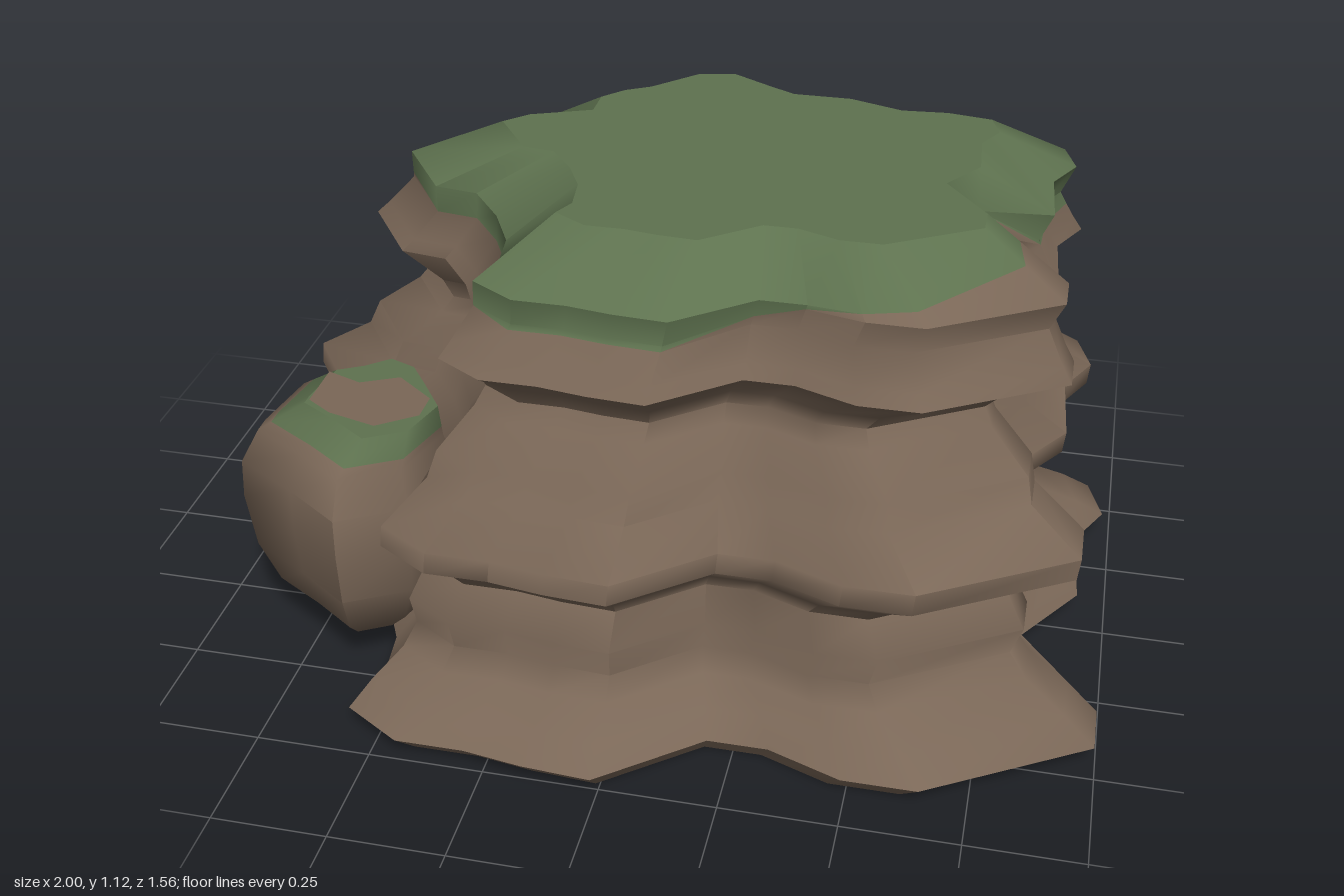
import * as THREE from 'three';
import { toCreasedNormals } from 'three/addons/utils/BufferGeometryUtils.js';

const rock = new THREE.MeshStandardMaterial({ color: 0x7a6757 });
rock.name = 'brown rock';
const moss = new THREE.MeshStandardMaterial({ color: 0x5e724f });
moss.name = 'green moss';

// Cliff plan at its widest level: x, z, height where the moss starts
const cliffPlan = [
  [-1, -0.09, 0.97], [-0.91, -0.18, 0.98], [-0.67, -0.28, 1], [-0.67, -0.42, 1.01], [-0.59, -0.51, 1.01],
  [-0.49, -0.57, 1], [-0.32, -0.75, 0.98], [-0.17, -0.78, 1], [0, -0.68, 1.03], [0.11, -0.62, 1.07],
  [0.35, -0.62, 1.08], [0.57, -0.545, 1.07], [0.76, -0.56, 1.02], [0.94, -0.53, 0.95],
  [0.98, -0.41, 0.93], [0.92, -0.29, 0.92], [0.935, -0.065, 0.95], [0.82, 0.11, 1.07],
  [0.995, 0.34, 1.08], [0.995, 0.46, 1.07], [0.65, 0.67, 1.04], [0.49, 0.67, 1.03],
  [0.33, 0.61, 1.01], [0.2, 0.61, 0.98], [-0.01, 0.78, 0.95], [-0.16, 0.77, 0.95],
  [-0.29, 0.75, 0.95], [-0.44, 0.75, 0.95], [-0.57, 0.67, 0.96], [-0.53, 0.58, 0.96],
  [-0.55, 0.42, 0.96], [-0.62, 0.28, 0.96], [-0.72, 0.15, 0.96], [-0.85, 0.13, 0.96],
];
// Weathered strata: height, plan scale; higher layers lean towards +x
const cliffLayers = [
  [0, 0.94], [0.05, 1], [0.1, 0.93], [0.15, 0.84], [0.2, 0.8], [0.27, 0.82], [0.35, 0.77],
  [0.39, 0.81], [0.44, 0.9], [0.49, 0.9], [0.57, 0.78], [0.63, 0.76], [0.71, 0.665],
  [0.75, 0.64], [0.79, 0.67], [0.86, 0.785], [0.89, 0.76], [0.96, 0.71], [1.02, 0.725], [1.12, 0.53],
].map(([y, s]) => [y, s, 0.11 * y * y]);

// Boulder plan and layers (height, scale, x shift)
const boulderPlan = [
  [-0.88, 0.36], [-0.85, 0.17], [-0.76, 0.12], [-0.68, 0.05], [-0.58, 0.09], [-0.5, 0.2],
  [-0.41, 0.33], [-0.46, 0.51], [-0.6, 0.59], [-0.73, 0.5], [-0.88, 0.41],
].map(([x, z]) => [x + 0.65, z - 0.33, 0.57]);
const boulderLayers = [
  [0.04, 0.2, 0], [0.08, 0.48, 0], [0.15, 0.76, 0], [0.25, 0.93, 0], [0.38, 1, 0],
  [0.47, 0.98, 0], [0.55, 0.84, 0.01], [0.62, 0.6, 0.06],
];

// Position of a plan corner at any height, between the layers
function pointAt([x, z], layers, y) {
  let k = 1;
  while (k < layers.length - 1 && layers[k][0] < y) k++;
  const [a, b] = [layers[k - 1], layers[k]];
  const t = (y - a[0]) / (b[0] - a[0]);
  const s = THREE.MathUtils.lerp(a[1], b[1], t);
  return [x * s + THREE.MathUtils.lerp(a[2], b[2], t), y, z * s];
}

// Lofted side wall: rock below each corner's moss line, moss above it
function wall(plan, layers, crease) {
  const positions = [];
  const geo = new THREE.BufferGeometry();
  const tri = (p, q, r) => {
    const same = (u, v) => u.every((c, n) => Math.abs(c - v[n]) < 1e-6);
    if (!same(p, q) && !same(q, r) && !same(r, p)) positions.push(...p, ...q, ...r);
  };
  [Math.min, Math.max].forEach((clip, material) => {
    const start = positions.length / 3;
    for (let k = 1; k < layers.length; k++) {
      plan.forEach((c, i) => {
        const n = plan[(i + 1) % plan.length];
        const at = (p, row) => pointAt(p, layers, clip(layers[row][0], p[2]));
        const [a, b, e, d] = [at(c, k - 1), at(n, k - 1), at(n, k), at(c, k)];
        tri(b, a, d);
        tri(b, d, e);
      });
    }
    geo.addGroup(start, positions.length / 3 - start, material);
  });
  geo.setAttribute('position', new THREE.Float32BufferAttribute(positions, 3));
  return toCreasedNormals(geo, crease);
}

// Flat face over an outline, facing up (1) or down (-1)
function flat(points, y, facing) {
  const shape = new THREE.Shape(points.map(([x, z]) => new THREE.Vector2(x, -z * facing)));
  return new THREE.ShapeGeometry(shape).rotateX(-facing * Math.PI / 2).translate(0, y, 0);
}

function add(parent, name, geometry, material) {
  const mesh = new THREE.Mesh(geometry, material);
  mesh.name = name;
  parent.add(mesh);
}

// Wall, mossy top and rocky underside
function rockForm(name, plan, layers, crease) {
  const group = new THREE.Group();
  group.name = name;
  const ring = (y) => plan.map((p) => pointAt(p, layers, y)).map(([x, , z]) => [x, z]);
  const low = layers[0][0];
  const high = layers[layers.length - 1][0];
  add(group, name + 'Wall', wall(plan, layers, crease), [rock, moss]);
  add(group, name + 'Top', flat(ring(high), high, 1), moss);
  add(group, name + 'Underside', flat(ring(low), low, -1), rock);
  return group;
}

export function createModel() {
  const model = new THREE.Group();
  model.name = 'mossyCliff';
  model.add(rockForm('cliff', cliffPlan, cliffLayers, 0.95));

  const boulder = rockForm('boulder', boulderPlan, boulderLayers, 1.1);
  boulder.position.set(-0.65, 0, 0.33);
  // Bare patch on the boulder's top
  const patch = [[-0.07, -0.08], [0.01, -0.05], [0.09, -0.09], [0.18, -0.02], [0.18, 0.05],
    [0.1, 0.11], [-0.01, 0.08], [-0.07, 0.04]];
  add(boulder, 'boulderBarePatch', flat(patch, 0.624, 1), rock);
  model.add(boulder);
  return model;
}
